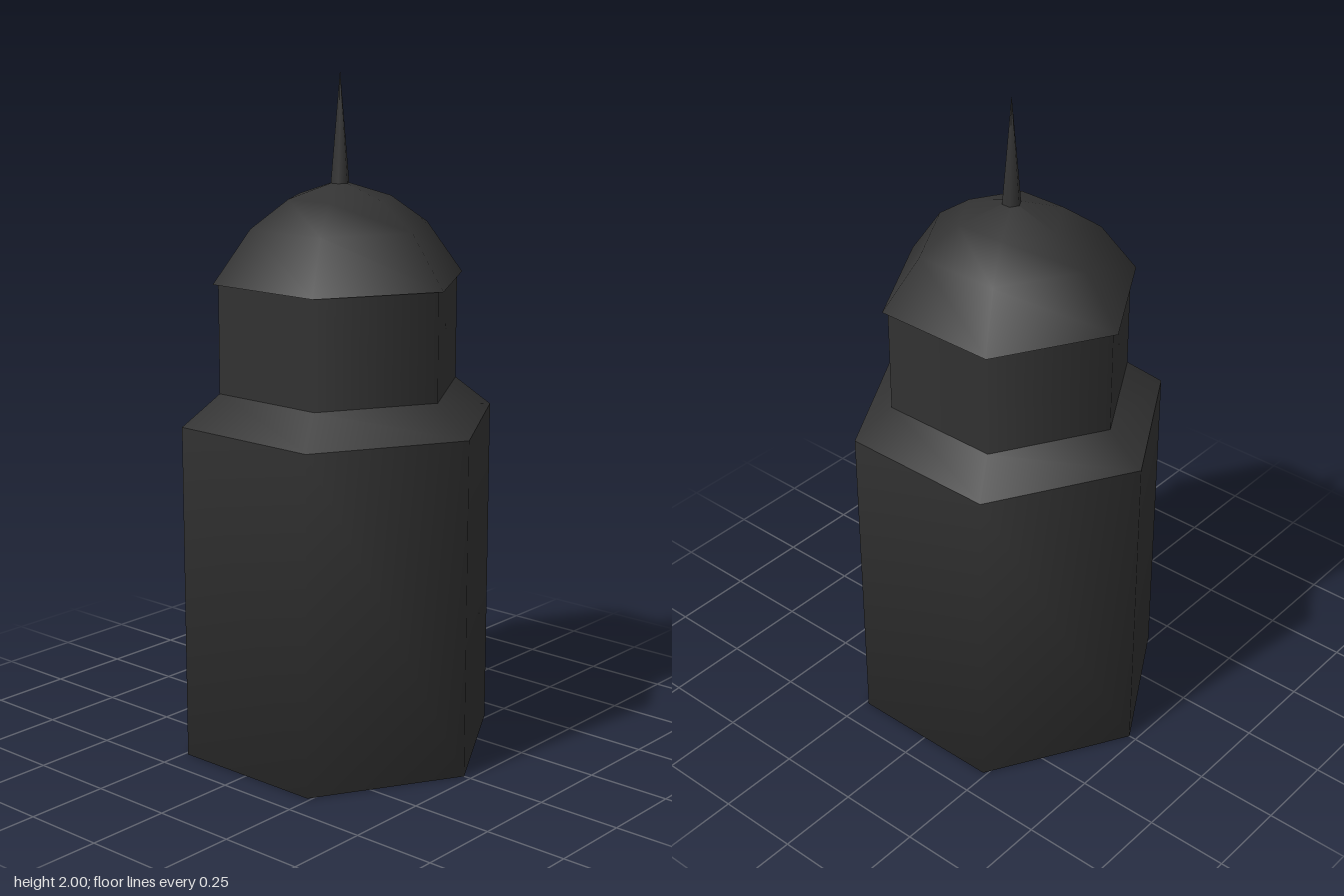
import * as THREE from 'three';

export function createModel() {
  const model = new THREE.Group();
  const darkStone = new THREE.MeshStandardMaterial({ color: 0x333333 });
  darkStone.name = 'darkStone';

  // Six-sided turned part; corners point along +x and -x
  const hexPart = (name, profile) => {
    const points = profile.map(([r, y]) => new THREE.Vector2(r, y));
    const mesh = new THREE.Mesh(new THREE.LatheGeometry(points, 6, Math.PI / 6), darkStone);
    mesh.name = name;
    model.add(mesh);
  };

  // Main shaft with its closed base, and the sloped ledge above it
  hexPart('towerBody', [[0, 0], [0.477, 0], [0.477, 1.0]]);
  hexPart('shoulder', [[0.477, 1.0], [0.364, 1.09]]);

  // Narrower upper storey
  hexPart('drum', [[0.364, 1.09], [0.364, 1.407]]);

  // Overhanging dome with its underside
  hexPart('domeUnderside', [[0.3, 1.407], [0.38, 1.407]]);
  hexPart('dome', [[0.38, 1.407], [0.268, 1.56], [0.155, 1.64], [0, 1.69]]);

  // Needle on top
  hexPart('spire', [[0.028, 1.68], [0, 2.0]]);

  return model;
}
